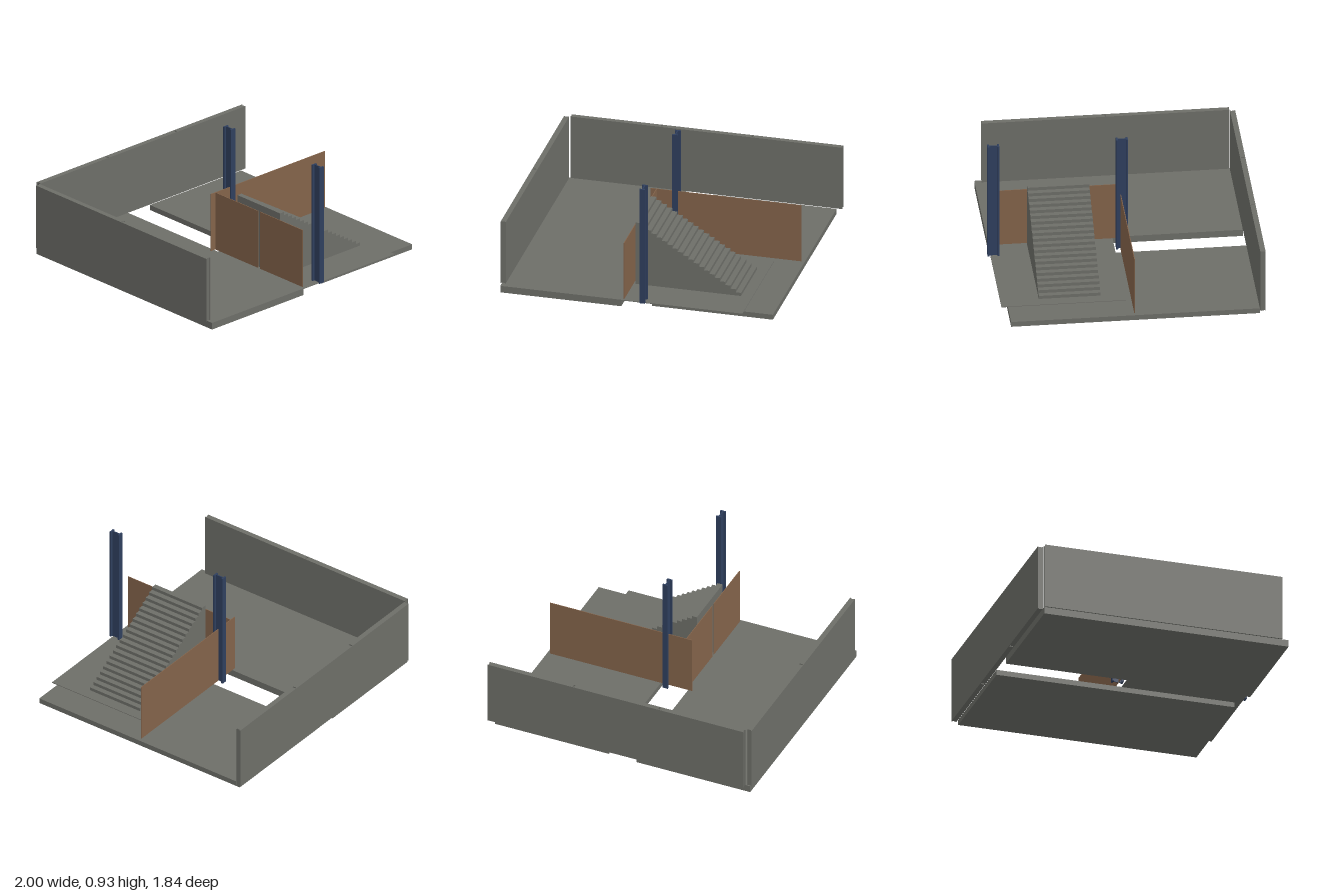
import * as THREE from 'three';

const mat = (name, color) => {
  const m = new THREE.MeshStandardMaterial({ color });
  m.name = name;
  return m;
};

export function createModel() {
  const concrete = mat('concrete grey', 0x6d6e68);
  const timber = mat('timber brown', 0x83634a);
  const steel = mat('steel blue', 0x2f3f5e);
  const model = new THREE.Group();
  model.name = 'buildingStorey';

  const add = (name, geometry, material, parent = model) => {
    const mesh = new THREE.Mesh(geometry, material);
    mesh.name = name;
    parent.add(mesh);
    return mesh;
  };
  // Box given by its minimum and maximum on each axis
  const box = (name, material, x0, x1, y0, y1, z0, z1) => {
    const mesh = add(name, new THREE.BoxGeometry(x1 - x0, y1 - y0, z1 - z0), material);
    mesh.position.set((x0 + x1) / 2, (y0 + y1) / 2, (z0 + z1) / 2);
    return mesh;
  };
  // Plan outline (x, -z) raised from y0 to y1
  const prism = (points, y0, y1) => {
    const shape = new THREE.Shape(points.map(([x, y]) => new THREE.Vector2(x, y)));
    const g = new THREE.ExtrudeGeometry(shape, { depth: y1 - y0, bevelEnabled: false });
    return g.rotateX(-Math.PI / 2).translate(0, y0, 0);
  };

  const floorY = 0.05, wallTop = 0.524;

  // Floor slabs with an open slot between them
  box('leftFloorSlab', concrete, -0.99, -0.12, 0, floorY, -0.885, 0.9);
  box('rightFloorSlab', concrete, 0.09, 0.958, 0.008, 0.046, -0.885, 0.855);
  // Thin sheet bridging the front of the slot
  box('floorSheet', concrete, -0.12, 0.75, 0.045, floorY, 0.03, 0.9);

  // Wall panel with a vertical groove in each end, centred on its own plan
  const wallPanel = (name, length, thick, x, z, turn) => {
    const a = length / 2, b = thick / 2, g = 0.006, s = b - 0.006;
    const outline = [
      [-a, -b], [a, -b], [a, -s], [a - g, -s], [a - g, s], [a, s],
      [a, b], [-a, b], [-a, s], [-a + g, s], [-a + g, -s], [-a, -s],
    ];
    const mesh = add(name, prism(outline, floorY, wallTop), concrete);
    mesh.position.set(x, 0, z);
    mesh.rotation.y = turn;
  };
  const backLength = 1.955 / 3;
  for (let i = 0; i < 3; i++) {
    wallPanel(`backWallPanel${i + 1}`, backLength, 0.037, -0.955 + backLength * (i + 0.5), -0.9025, 0);
  }
  const sideLength = 1.735 / 2;
  for (let i = 0; i < 2; i++) {
    wallPanel(`sideWallPanel${i + 1}`, sideLength, 0.037, -0.9815, -0.882 + sideLength * (i + 0.5), Math.PI / 2);
  }

  // Thin timber partitions
  const partTop = 0.482;
  box('longPartition', timber, -0.15, 0.935, floorY, partTop, -0.014, -0.009);
  box('crossPartitionBack', timber, -0.108, -0.103, floorY, partTop, -0.009, 0.425);
  box('crossPartitionFront', timber, -0.108, -0.103, floorY, partTop, 0.445, 0.88);

  // Solid staircase: stepped side profile extruded across its width
  const steps = 20, x0 = -0.09, x1 = 0.67;
  const run = (x1 - x0) / steps, rise = (wallTop - floorY) / steps;
  const profile = new THREE.Shape();
  profile.moveTo(x0, floorY);
  profile.lineTo(x1, floorY);
  for (let i = 0; i < steps; i++) {
    profile.lineTo(x1 - i * run, floorY + (i + 1) * rise);
    profile.lineTo(x1 - (i + 1) * run, floorY + (i + 1) * rise);
  }
  const stairs = add('staircase',
    new THREE.ExtrudeGeometry(profile, { depth: 0.432, bevelEnabled: false }), concrete);
  stairs.position.z = 0.198;

  // Steel I-section columns
  const w = 0.02, d = 0.041, web = 0.004, flange = d - 0.012;
  const section = [
    [-w, -d], [w, -d], [w, -flange], [web, -flange], [web, flange], [w, flange],
    [w, d], [-w, d], [-w, flange], [-web, flange], [-web, -flange], [-w, -flange],
  ];
  const columnGeometry = prism(section, floorY, 0.93);
  [['backColumn', -0.02], ['frontColumn', 0.879]].forEach(([name, z]) => {
    add(name, columnGeometry, steel).position.set(0.035, 0, z);
  });

  return model;
}
